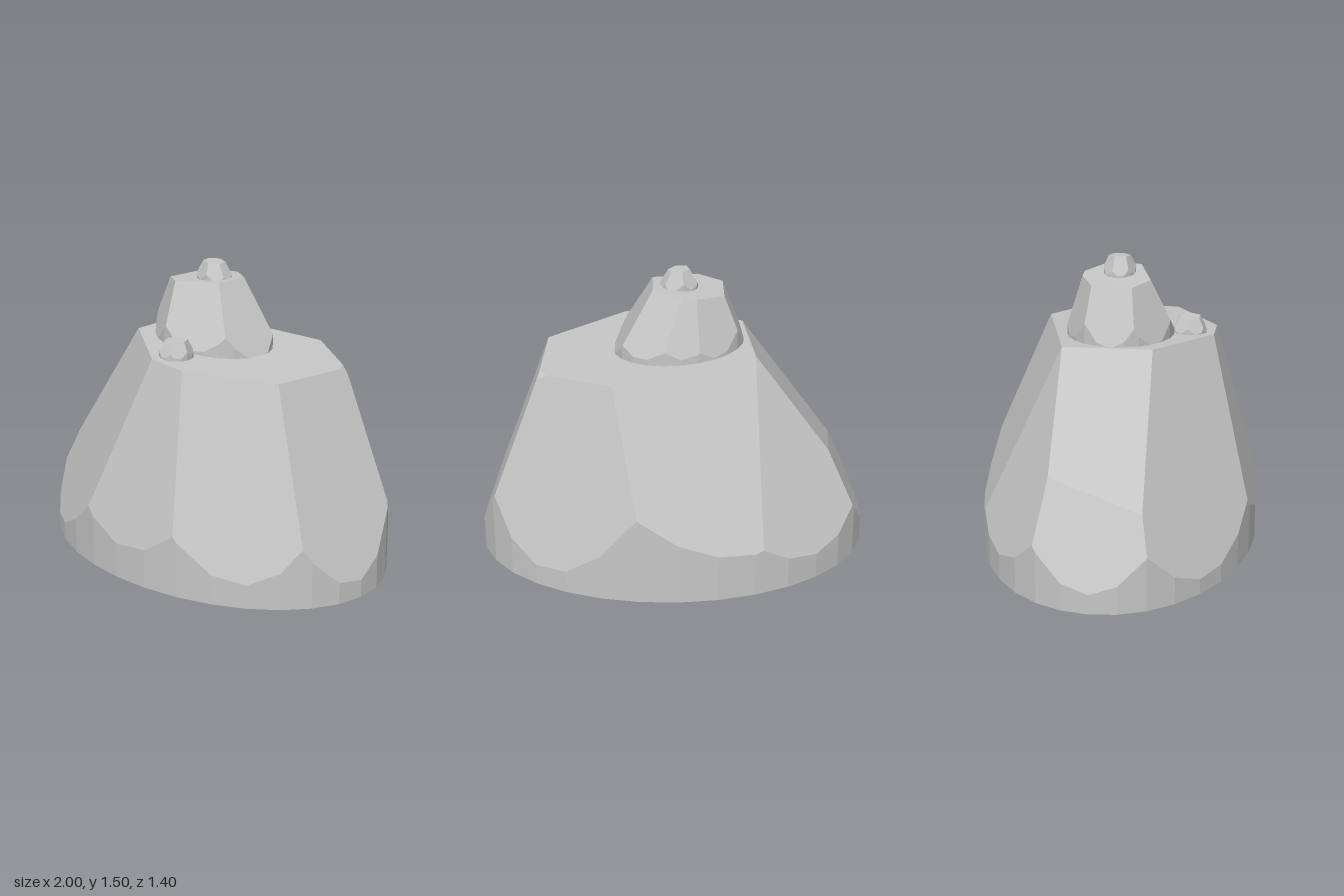
import * as THREE from 'three';
import { ConvexGeometry } from 'three/addons/geometries/ConvexGeometry.js';

const V = (p) => new THREE.Vector3(...p);

// Elliptical prism chiselled by flat cuts, each cut given by three points on its plane
function chiselled({ cx, cz, rx, rz, sides, base, cuts }) {
  const inside = new THREE.Vector3(cx, base + 0.03, cz);
  const planes = [new THREE.Plane(new THREE.Vector3(0, -1, 0), base)];
  const rim = (i) => {
    const a = (i / sides) * Math.PI * 2;
    return [cx + rx * Math.cos(a), 0, cz + rz * Math.sin(a)];
  };
  const addCut = (a, b, c) => {
    const plane = new THREE.Plane().setFromCoplanarPoints(V(a), V(b), V(c));
    if (plane.distanceToPoint(inside) > 0) plane.negate();
    planes.push(plane);
  };
  for (let i = 0; i < sides; i++) {
    const p = rim(i);
    addCut(p, rim(i + 1), [p[0], 1, p[2]]);
  }
  cuts.forEach((cut) => addCut(...cut));

  // corners are the plane triples that meet inside every other plane
  const corners = [];
  const bc = new THREE.Vector3();
  for (let i = 0; i < planes.length; i++)
    for (let j = i + 1; j < planes.length; j++)
      for (let k = j + 1; k < planes.length; k++) {
        const [a, b, c] = [planes[i], planes[j], planes[k]];
        bc.crossVectors(b.normal, c.normal);
        const det = a.normal.dot(bc);
        if (Math.abs(det) < 1e-5) continue;
        const p = bc.clone().multiplyScalar(-a.constant)
          .addScaledVector(new THREE.Vector3().crossVectors(c.normal, a.normal), -b.constant)
          .addScaledVector(new THREE.Vector3().crossVectors(a.normal, b.normal), -c.constant)
          .divideScalar(det);
        if (planes.every((q) => q.distanceToPoint(p) < 1e-6) &&
          corners.every((q) => q.distanceTo(p) > 1e-4)) corners.push(p);
      }
  return new ConvexGeometry(corners);
}

// Small six-sided stone: cuts run from a hexagonal top down to the rim
function pebble({ cx, cz, rx, rz, base, flare, height, rTop, turn, slope }) {
  const top = (a) => {
    const x = rTop * Math.cos(a);
    return [cx + x, height + slope * x, cz + rTop * Math.sin(a)];
  };
  const cuts = [[top(0), top(2), top(4)]];
  for (let i = 0; i < 6; i++) {
    const a = turn + (i * Math.PI) / 3, mid = a + Math.PI / 6;
    cuts.push([top(a), top(a + Math.PI / 3),
      [cx + rx * Math.cos(mid), flare, cz + rz * Math.sin(mid)]]);
  }
  return chiselled({ cx, cz, rx, rz, sides: 14, base, cuts });
}

export function createModel() {
  const group = new THREE.Group();
  const stone = new THREE.MeshStandardMaterial({ color: 0xc7c7c7 });
  stone.name = 'stoneGrey';
  stone.flatShading = true;

  const add = (name, geometry) => {
    const mesh = new THREE.Mesh(geometry, stone);
    mesh.name = name;
    group.add(mesh);
  };

  // large lower boulder
  const A = [-0.4, 1.12, -0.23], B = [0.31, 1.067, -0.43], E = [0.63, 1.043, 0.21];
  const F = [0.23, 1.073, 0.46], G = [0.02, 1.088, 0.465], H = [-0.37, 1.118, 0.21];
  const K = [-0.78, 0.59, -0.23];
  add('lowerBoulder', chiselled({
    cx: 0, cz: 0, rx: 1, rz: 0.7, sides: 32, base: 0,
    cuts: [
      [[0, 1.09, 0], [1, 1.015, 0], [0, 1.09, 1]], // sloping top
      [H, G, [-0.707, 0.08, 0.495]], // front, right part
      [G, F, [0, 0.18, 0.7]], // front, middle
      [F, E, [0.707, 0.12, 0.495]], // front, left part
      [E, [0.67, 1.04, -0.25], [1, 0.09, 0]], // left side
      [[0.6, 1.045, -0.29], [0.66, 1.04, -0.19], [0.7, 0.985, -0.25]], // small chip
      [B, [0.19, 0.48, -0.687], [0.74, 0.11, -0.475]], // back, left part
      [A, B, [-0.4, 0.24, -0.64]], // back, middle
      [A, K, [-0.6, 0.15, -0.56]], // back, right part
      [A, H, K], // right side, upper
      [K, [-0.85, 0.44, 0.26], [-1, 0.1, 0]], // right side, lower
    ],
  }));

  // middle boulder
  const top = (x, z) => [x, 1.41 + 0.08 * x, z];
  add('middleBoulder', chiselled({
    cx: -0.03, cz: 0, rx: 0.33, rz: 0.268, sides: 24, base: 1.0,
    cuts: [
      [top(0, 0), top(1, 0), top(0, 1)],
      [top(-0.25, -0.11), top(-0.255, 0.09), [-0.36, 1.11, 0]],
      [top(-0.25, -0.11), top(-0.11, -0.18), [-0.25, 1.12, -0.2]],
      [top(-0.11, -0.18), top(-0.04, -0.18), [-0.08, 1.13, -0.264]],
      [top(-0.04, -0.18), top(0.1, -0.085), [0.17, 1.11, -0.21]],
      [top(0.1, -0.085), top(0.095, 0.085), [0.29, 1.07, 0]],
      [top(0.095, 0.085), top(-0.135, 0.165), [0.07, 1.1, 0.253]],
      [top(-0.135, 0.165), top(-0.255, 0.09), [-0.25, 1.1, 0.2]],
    ],
  }));

  // small pebbles on the summit and on the front ledge
  add('topPebble', pebble({
    cx: -0.032, cz: -0.005, rx: 0.095, rz: 0.08, base: 1.36, flare: 1.405,
    height: 1.493, rTop: 0.055, turn: 0.3, slope: -0.08,
  }));
  add('ledgePebble', pebble({
    cx: 0.057, cz: 0.338, rx: 0.08, rz: 0.087, base: 1.04, flare: 1.09,
    height: 1.168, rTop: 0.058, turn: 0, slope: 0,
  }));

  return group;
}
